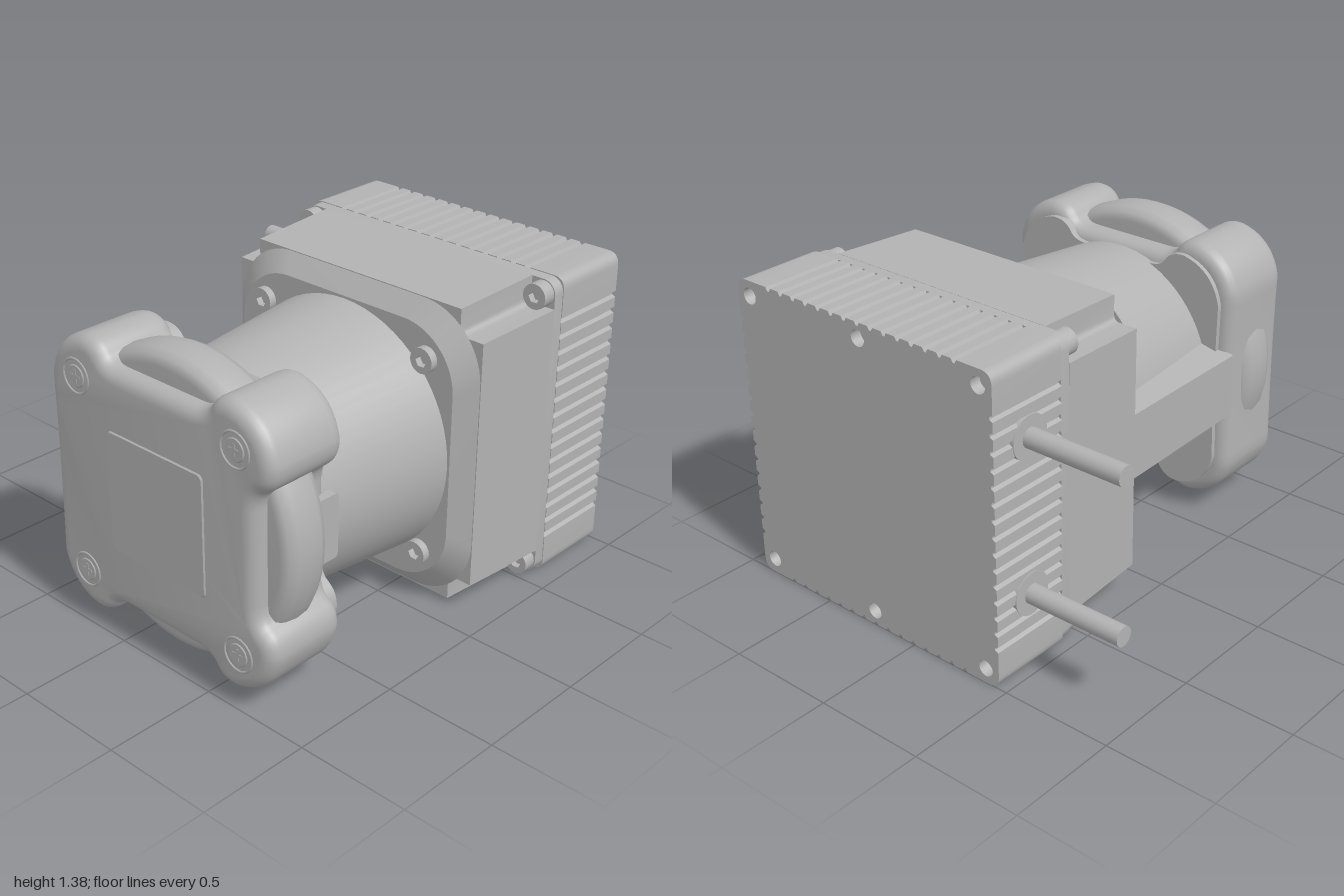
import * as THREE from 'three';
import { toCreasedNormals } from 'three/addons/utils/BufferGeometryUtils.js';

const grey = new THREE.MeshStandardMaterial({ color: 0xb2b2b2 });
grey.name = 'housing grey';

export function createModel() {
  const model = new THREE.Group();
  model.name = 'rangeSensor';
  // Everything but the cables is centred on the sensor axis
  const body = new THREE.Group();
  body.name = 'sensorBody';
  body.position.set(0.225, 0.69, 0);
  model.add(body);

  const add = (name, geo, x = 0, y = 0, z = 0, parent = body) => {
    const m = new THREE.Mesh(geo, grey);
    m.name = name;
    m.position.set(x, y, z);
    parent.add(m);
    return m;
  };
  // Extrude a shape from z0 to z1; the far end is scaled by endScale
  const slab = (shape, z0, z1, { endScale = 1, bevel = 0, crease = 0.5, curve = 10 } = {}) => {
    const g = new THREE.ExtrudeGeometry(shape, {
      depth: z1 - z0 - 2 * bevel, curveSegments: curve, bevelEnabled: bevel > 0,
      bevelSize: bevel, bevelThickness: bevel, bevelOffset: -bevel, bevelSegments: 5,
    });
    g.translate(0, 0, z0 + bevel);
    const p = g.attributes.position;
    for (let i = 0; i < p.count; i++) {
      const s = 1 + (endScale - 1) * (p.getZ(i) - z0) / (z1 - z0);
      p.setXY(i, p.getX(i) * s, p.getY(i) * s);
    }
    return toCreasedNormals(g, crease);
  };
  const roundedSquare = (h, r) => {
    const s = new THREE.Shape();
    s.absarc(h - r, h - r, r, 0, Math.PI / 2);
    s.absarc(r - h, h - r, r, Math.PI / 2, Math.PI);
    s.absarc(r - h, r - h, r, Math.PI, Math.PI * 1.5);
    s.absarc(h - r, r - h, r, Math.PI * 1.5, Math.PI * 2);
    return s;
  };
  const circlePath = (x, y, r, n = 20) => {
    const p = new THREE.Path();
    for (let i = 0; i <= n; i++) {
      const a = -i / n * Math.PI * 2;
      p[i ? 'lineTo' : 'moveTo'](x + r * Math.cos(a), y + r * Math.sin(a));
    }
    return p;
  };
  const corners = (d, f) => [[1, 1], [-1, 1], [-1, -1], [1, -1]].forEach(([a, b]) => f(a * d, b * d));
  // Turn a point of the top side to side k, counterclockwise
  const turn = (k, x, y) => [[x, y], [-y, x], [-x, -y], [y, -x]][k];

  // Rear housing: rounded square with narrow cooling grooves on every side
  const rearShape = () => {
    const s = new THREE.Shape(), H = 0.6875, r = 0.055;
    for (let k = 0; k < 4; k++) {
      const to = (x, y) => s.lineTo(...turn(k, x, y));
      if (k === 0) s.moveTo(H - r, H);
      for (let i = 7; i >= -7; i--) {
        const c = i * 0.072;
        to(c + 0.014, H);
        to(c + 0.005, H - 0.016);
        to(c - 0.005, H - 0.016);
        to(c - 0.014, H);
      }
      to(r - H, H);
      s.quadraticCurveTo(...turn(k, -H, H), ...turn(k, -H, H - r));
    }
    return s;
  };
  add('rearHousing', slab(rearShape(), -0.95, -0.615));
  const back = rearShape();
  corners(0.62, (x, y) => back.holes.push(circlePath(x, y, 0.036)));
  [0.62, -0.62].forEach(y => back.holes.push(circlePath(0, y, 0.036)));
  add('backPlate', slab(back, -1, -0.95));
  add('flange', slab(roundedSquare(0.684, 0.06), -0.615, -0.565, { endScale: 0.997 }));

  // Middle housing: tapered block with notched corners
  const mid = new THREE.Shape(), H = 0.683, N = 0.565;
  mid.moveTo(N, H);
  for (let k = 0; k < 4; k++) {
    mid.lineTo(...turn(k, -N, H));
    mid.lineTo(...turn(k, -N, N + 0.03));
    mid.quadraticCurveTo(...turn(k, -N, N), ...turn(k, -N - 0.03, N));
    mid.lineTo(...turn(k, -H, N));
  }
  add('middleHousing', slab(mid, -0.565, -0.13, { endScale: 0.972 }));
  add('frontBoss', slab(roundedSquare(0.66, 0.3), -0.13, -0.06, { endScale: 0.88 }));

  // Socket head screws, in the corner notches and around the neck
  const headShape = new THREE.Shape().absarc(0, 0, 0.055, 0, Math.PI * 2);
  headShape.holes.push(circlePath(0, 0, 0.028, 6));
  const head = slab(headShape, 0, 0.06);
  const floor = new THREE.CylinderGeometry(0.03, 0.03, 0.03, 12).rotateX(Math.PI / 2);
  const socketScrew = (name, x, y, z) => {
    const g = new THREE.Group();
    g.name = name;
    g.position.set(x, y, z);
    add('screwHead', head, 0, 0, 0, g);
    add('socketFloor', floor, 0, 0, 0.015, g);
    body.add(g);
  };
  corners(0.622, (x, y) => socketScrew('housingScrew', x, y, -0.565));
  corners(0.442, (x, y) => socketScrew('neckScrew', x, y, -0.085));

  // Tapered neck and the cable duct beside it
  add('neck', new THREE.CylinderGeometry(0.51, 0.57, 0.66, 64).rotateX(Math.PI / 2), 0, 0, 0.27);
  const duct = new THREE.Shape([[-0.645, -0.15], [-0.4, -0.2], [-0.4, 0.2], [-0.645, 0.15]]
    .map(p => new THREE.Vector2(...p)));
  add('cableDuct', slab(duct, -0.13, 0.62, { endScale: 0.965 }));

  // Head cap: four corner lobes, notched at the top, right and bottom
  const cap = new THREE.Shape();
  cap.moveTo(0.41, 0.615);
  for (let k = 0; k < 4; k++) {
    const q = (a, b, x, y) => cap.quadraticCurveTo(...turn(k, a, b), ...turn(k, x, y));
    if (k === 1) {
      q(0.2, 0.61, 0, 0.61);
      q(-0.2, 0.61, -0.41, 0.615);
    } else {
      q(0.33, 0.62, 0.295, 0.565);
      q(0.27, 0.525, 0.2, 0.525);
      cap.lineTo(...turn(k, -0.2, 0.525));
      q(-0.27, 0.525, -0.295, 0.565);
      q(-0.33, 0.62, -0.41, 0.615);
    }
    q(-0.58, 0.58, -0.615, 0.41);
  }
  add('headCap', slab(cap, 0.6, 0.994, { bevel: 0.06, crease: 0.7 }));
  const rear = add('capRearPlate', slab(cap, 0.578, 0.64, { crease: 0.7 }));
  rear.scale.set(0.91, 0.91, 1);
  add('frontPanel', slab(roundedSquare(0.275, 0.025), 0.985, 1, { endScale: 0.955 }));

  // Round window ring bulging out of the notches
  const ring = [[0.4, 0.7], [0.585, 0.7], [0.62, 0.715], [0.637, 0.75], [0.644, 0.81],
    [0.637, 0.87], [0.62, 0.905], [0.585, 0.92], [0.4, 0.92]].map(p => new THREE.Vector2(...p));
  add('windowRing', new THREE.LatheGeometry(ring, 72).rotateX(Math.PI / 2).scale(1, 1, 1));

  // Small tab behind the window on the left side
  const tab = slab(roundedSquare(0.14, 0.03), 0, 0.04).rotateY(Math.PI / 2);
  tab.scale(1, 1, 0.5);
  add('sideTab', tab, 0.515, 0, 0.64);

  // Cross head screws in the cap
  corners(0.438, (x, y) => {
    const g = new THREE.Group();
    g.name = 'capScrew';
    g.position.set(x, y, 0.994);
    add('screwSeat', new THREE.TorusGeometry(0.073, 0.006, 6, 28), 0, 0, -0.001, g);
    add('screwHead', new THREE.CylinderGeometry(0.045, 0.058, 0.012, 24).rotateX(Math.PI / 2), 0, 0, -0.002, g);
    add('crossBar', new THREE.BoxGeometry(0.055, 0.013, 0.006), 0, 0, 0.003, g);
    add('crossBar', new THREE.BoxGeometry(0.013, 0.055, 0.006), 0, 0, 0.003, g);
    body.add(g);
  });

  // Two cables with glands on the right side
  [1.04, 0.35].forEach(y => {
    add('cable', new THREE.CylinderGeometry(0.043, 0.043, 0.48, 24).rotateZ(Math.PI / 2), -0.68, y, -0.8, model);
    add('cableGland', new THREE.CylinderGeometry(0.095, 0.095, 0.03, 32).rotateZ(Math.PI / 2), -0.451, y, -0.8, model);
  });
  return model;
}
